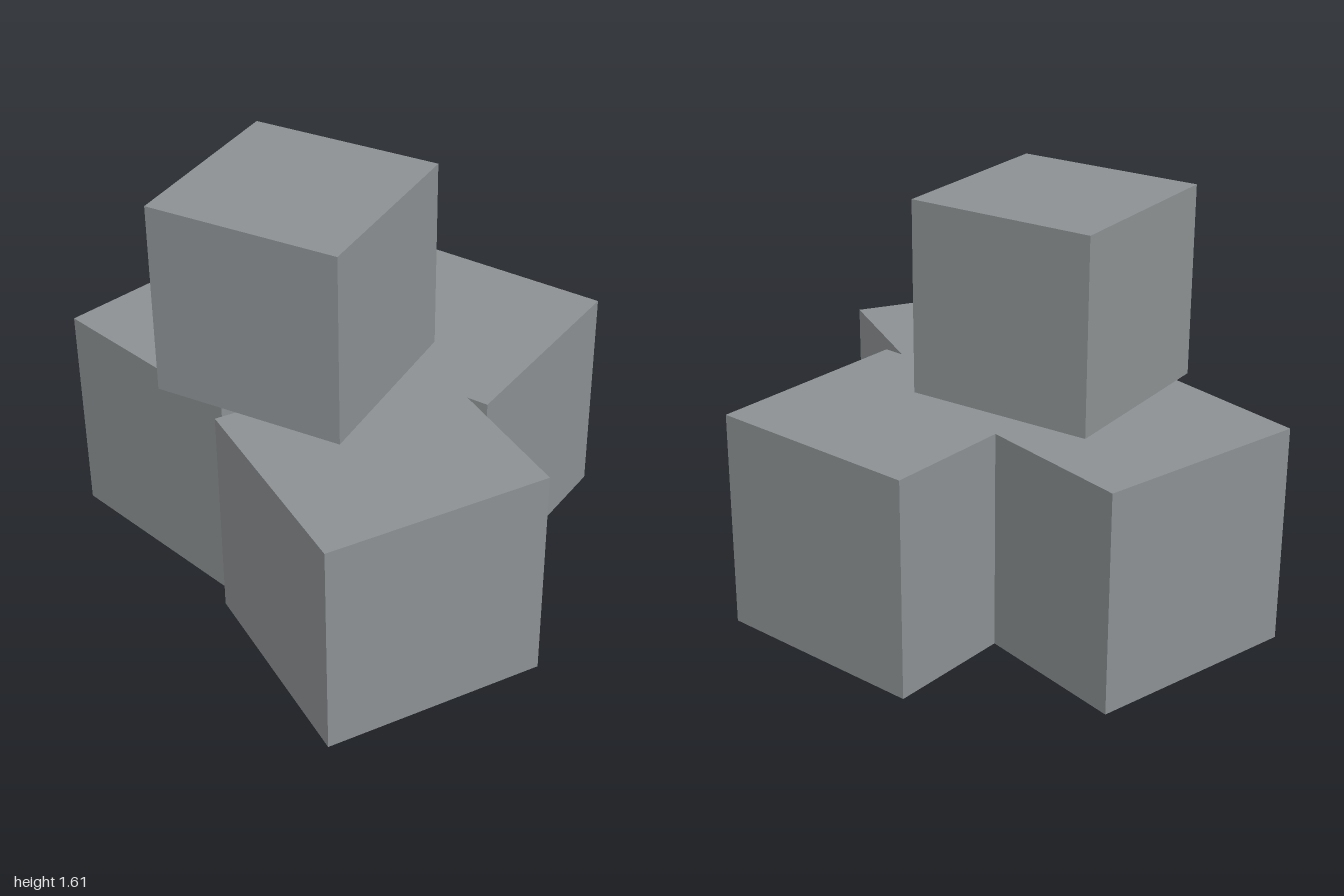
import * as THREE from 'three';

export function createModel() {
  const model = new THREE.Group();
  model.name = 'crateStack';
  const grey = new THREE.MeshStandardMaterial({ color: 0x8c9092 });
  grey.name = 'stone grey';

  // A cube resting at height y, turned about the vertical axis
  function addCube(name, size, x, y, z, turn) {
    const cube = new THREE.Mesh(new THREE.BoxGeometry(size, size, size), grey);
    cube.name = name;
    cube.position.set(x, y + size / 2, z);
    cube.rotation.y = turn;
    model.add(cube);
  }

  // Three large cubes on the ground
  const base = 0.86;
  addCube('backCube', base, 0.005, 0, -0.365, 0.296);
  addCube('rightCube', base, -0.53, 0, 0.28, 0.099);
  addCube('leftCube', base, 0.492, 0, 0.39, -0.2);

  // Smaller cube stacked on top
  addCube('topCube', 0.753, -0.1, base, 0.28, 0.395);

  return model;
}
